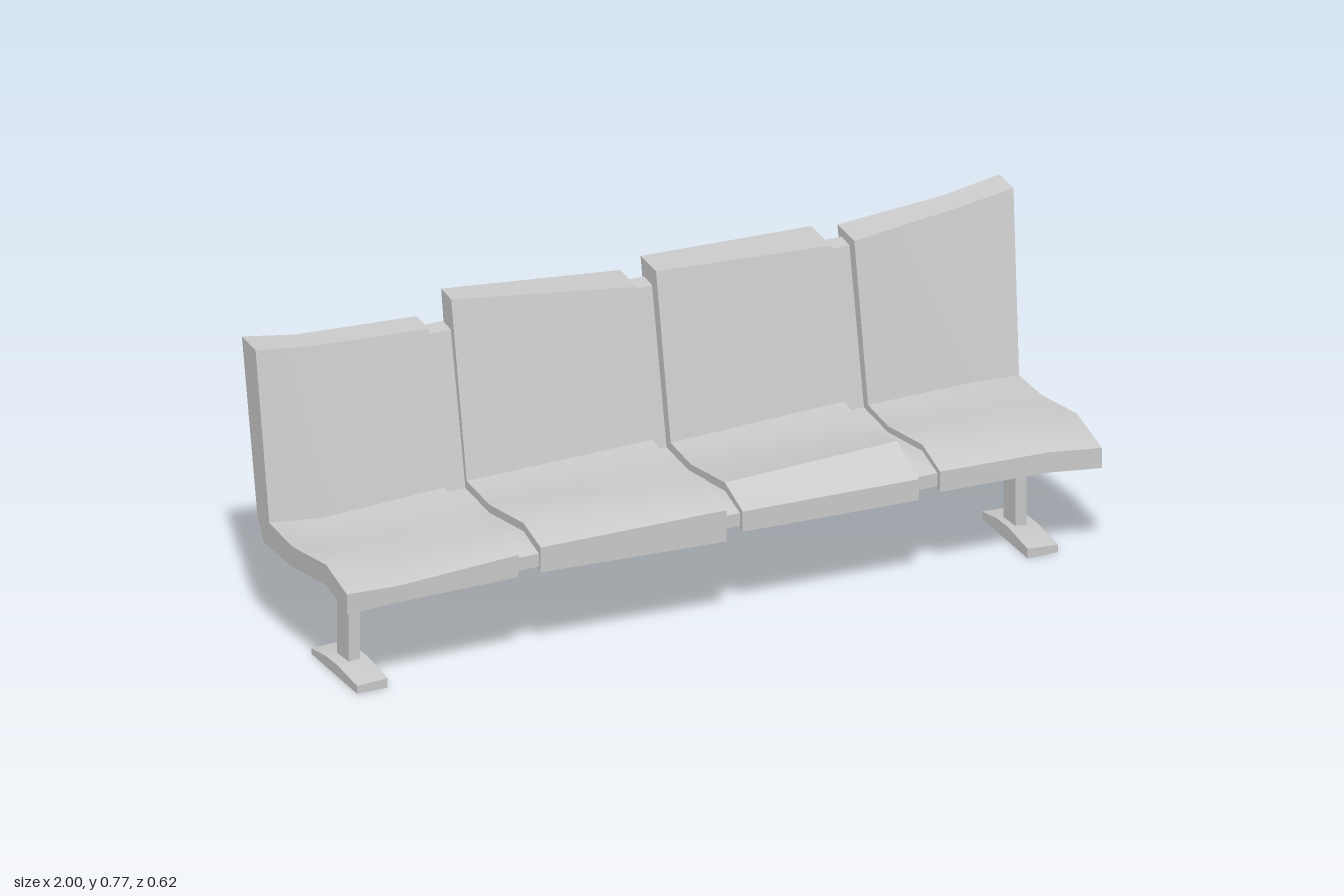
import * as THREE from 'three';
import { toCreasedNormals } from 'three/addons/utils/BufferGeometryUtils.js';

const material = new THREE.MeshStandardMaterial({ color: 0xcccccc });

// Side profile of a seat shell as [z, y]: over the seat, up the back, down and under.
function profile({ top, hump, lip, bottom, front, crease, topFront, topBack, dip = 0.03, drop = 0.01 }) {
  return [
    [front, lip], [0.167, hump], [-0.02, hump - dip], [crease, hump - dip + drop],
    [topFront, top - 0.005], [topBack, top],
    [-0.21, bottom + 0.055], [-0.175, bottom], [-0.02, bottom], [0.167, bottom + 0.03], [front, bottom],
  ];
}

// Joins matching cross-sections (lists of [x, y, z]) and closes both ends.
function loft(sections) {
  const n = sections[0].length;
  const index = [];
  for (let s = 0; s < sections.length - 1; s++) {
    for (let i = 0; i < n; i++) {
      const j = (i + 1) % n, a = s * n, b = a + n;
      index.push(a + i, b + i, a + j, b + i, b + j, a + j);
    }
  }
  for (const end of [0, sections.length - 1]) {
    const flat = sections[end].map(([, y, z]) => new THREE.Vector2(-z, y));
    for (const [a, b, c] of THREE.ShapeUtils.triangulateShape(flat, [])) {
      const counterClockwise = THREE.ShapeUtils.area([flat[a], flat[b], flat[c]]) > 0;
      const order = counterClockwise === (end > 0) ? [a, b, c] : [a, c, b];
      index.push(...order.map((k) => k + end * n));
    }
  }
  const geometry = new THREE.BufferGeometry();
  geometry.setAttribute('position', new THREE.Float32BufferAttribute(sections.flat(2), 3));
  geometry.setIndex(index);
  return toCreasedNormals(geometry, 0.5);
}

function addMesh(parent, name, geometry) {
  const mesh = new THREE.Mesh(geometry, material);
  mesh.name = name;
  parent.add(mesh);
  return mesh;
}

// Shell through several stations; lean tilts an end outward towards the top.
function addShell(parent, name, stations) {
  const sections = stations.map((s) => profile(s).map(([z, y]) => [
    s.x + (s.lean || 0) * Math.max(0, (y - 0.31) / 0.455), y, z,
  ]));
  return addMesh(parent, name, loft(sections));
}

const station = (x, top, hump, lip, bottom, front, crease, topFront, topBack, extra) =>
  ({ x, top, hump, lip, bottom, front, crease, topFront, topBack, ...extra });

export function createModel() {
  const model = new THREE.Group();
  model.name = 'bench';

  // Four seats, slightly uneven from one to the next
  const seats = [
    [
      station(-1, 0.745, 0.34, 0.31, 0.257, 0.28, -0.145, -0.22, -0.295),
      station(-0.86, 0.722, 0.325, 0.3, 0.257, 0.27, -0.145, -0.23, -0.295),
      station(-0.54, 0.706, 0.34, 0.315, 0.257, 0.265, -0.145, -0.228, -0.295),
    ],
    [
      station(-0.48, 0.77, 0.345, 0.32, 0.255, 0.26, -0.145, -0.23, -0.285),
      station(0, 0.715, 0.363, 0.33, 0.248, 0.28, -0.13, -0.21, -0.303),
    ],
    [
      station(0.05, 0.745, 0.345, 0.31, 0.257, 0.265, -0.13, -0.21, -0.295),
      station(0.505, 0.727, 0.363, 0.312, 0.257, 0.285, -0.128, -0.197, -0.307),
    ],
    [
      station(0.57, 0.722, 0.34, 0.31, 0.257, 0.265, -0.13, -0.205, -0.298),
      station(0.85, 0.74, 0.337, 0.31, 0.257, 0.278, -0.143, -0.233, -0.302),
      station(0.975, 0.765, 0.34, 0.31, 0.257, 0.31, -0.145, -0.227, -0.303, { lean: 0.025, drop: 0 }),
    ],
  ];
  seats.forEach((stations, i) => addShell(model, `seat${i + 1}`, stations));

  // Recessed strips filling the gaps between seats
  const gaps = [[-0.54, -0.48, 0.69], [0, 0.05, 0.7], [0.505, 0.57, 0.7]];
  gaps.forEach(([x0, x1, top], i) => addShell(model, `joiningStrip${i + 1}`, [x0, x1].map((x) =>
    station(x, top, 0.324, 0.3, 0.266, 0.25, -0.152, -0.232, -0.275))));

  // Two posts, each on a flat foot that thins towards its ends
  for (const side of [-1, 1]) {
    const leg = new THREE.Group();
    leg.name = side < 0 ? 'rightLeg' : 'leftLeg';
    leg.position.x = side * 0.875 - (side < 0 ? 0.016 : 0);

    const post = addMesh(leg, 'post', new THREE.BoxGeometry(0.03, 0.25, 0.064));
    post.position.set(-0.005 * side, 0.15, 0.052);

    const foot = [[0.193, 0], [0.193, 0.025], [0.085, 0.037], [0.02, 0.034], [-0.058, 0.018], [-0.058, 0]];
    addMesh(leg, 'foot', loft([-0.04, 0.04].map((x) => foot.map(([z, y]) =>
      // the outer edge sits a little lower
      [x, x * side > 0 ? y * 0.8 : y, z]))));
    model.add(leg);
  }
  return model;
}
